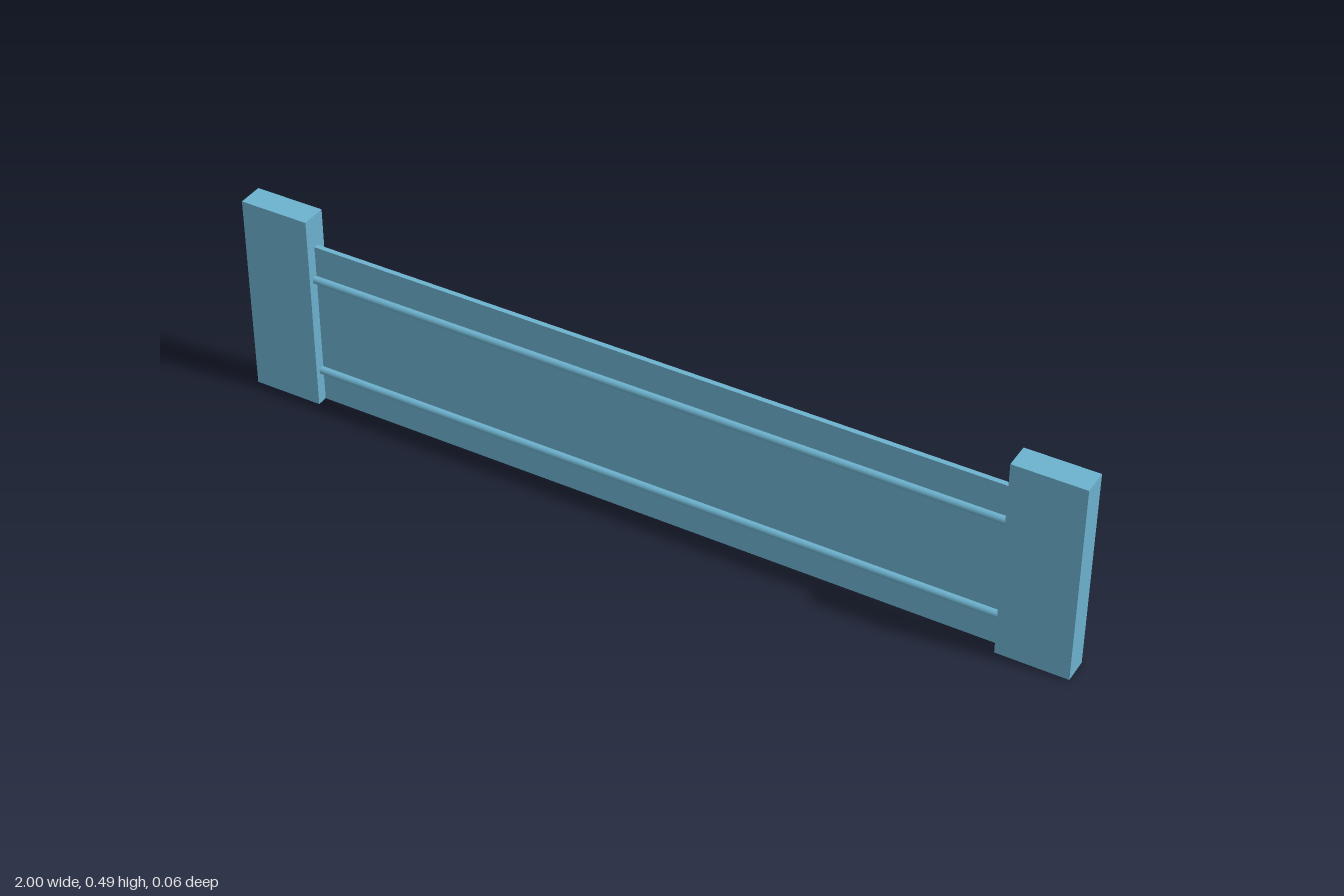
import * as THREE from 'three';

const paint = new THREE.MeshStandardMaterial({ color: 0x6cb1cd });
paint.name = 'dusty blue';

function add(group, name, geometry) {
  const mesh = new THREE.Mesh(geometry, paint);
  mesh.name = name;
  group.add(mesh);
}

function box(w, h, d, x, z) {
  return new THREE.BoxGeometry(w, h, d).translate(x, h / 2, z);
}

// Round bar between two points, trimmed flush with the ground
function bar(a, b, radius) {
  const axis = b.clone().sub(a);
  const g = new THREE.CylinderGeometry(radius, radius, axis.length(), 16);
  g.applyQuaternion(new THREE.Quaternion().setFromUnitVectors(
    new THREE.Vector3(0, 1, 0), axis.normalize()));
  const mid = a.clone().add(b).multiplyScalar(0.5);
  g.translate(mid.x, mid.y, mid.z);
  const p = g.attributes.position;
  for (let i = 0; i < p.count; i++) p.setY(i, Math.max(0, p.getY(i)));
  return g;
}

export function createModel() {
  const barrier = new THREE.Group();
  barrier.name = 'barrier';

  // Thin panel between the posts
  add(barrier, 'panel', box(1.67, 0.41, 0.012, 0, -0.002));

  // Horizontal rails on the front
  for (const [name, y] of [['upperRail', 0.328], ['lowerRail', 0.083]]) {
    add(barrier, name, bar(
      new THREE.Vector3(-0.835, y, 0.01), new THREE.Vector3(0.835, y, 0.01), 0.009));
  }

  // End posts and the V of braces on the back
  for (const [side, s] of [['left', 1], ['right', -1]]) {
    add(barrier, side + 'Post', box(0.167, 0.488, 0.061, s * 0.9165, s * 0.001));
    add(barrier, side + 'Brace', bar(
      new THREE.Vector3(0, 0.008, -0.0115), new THREE.Vector3(s * 0.84, 0.392, -0.0115), 0.0125));
  }

  return barrier;
}
